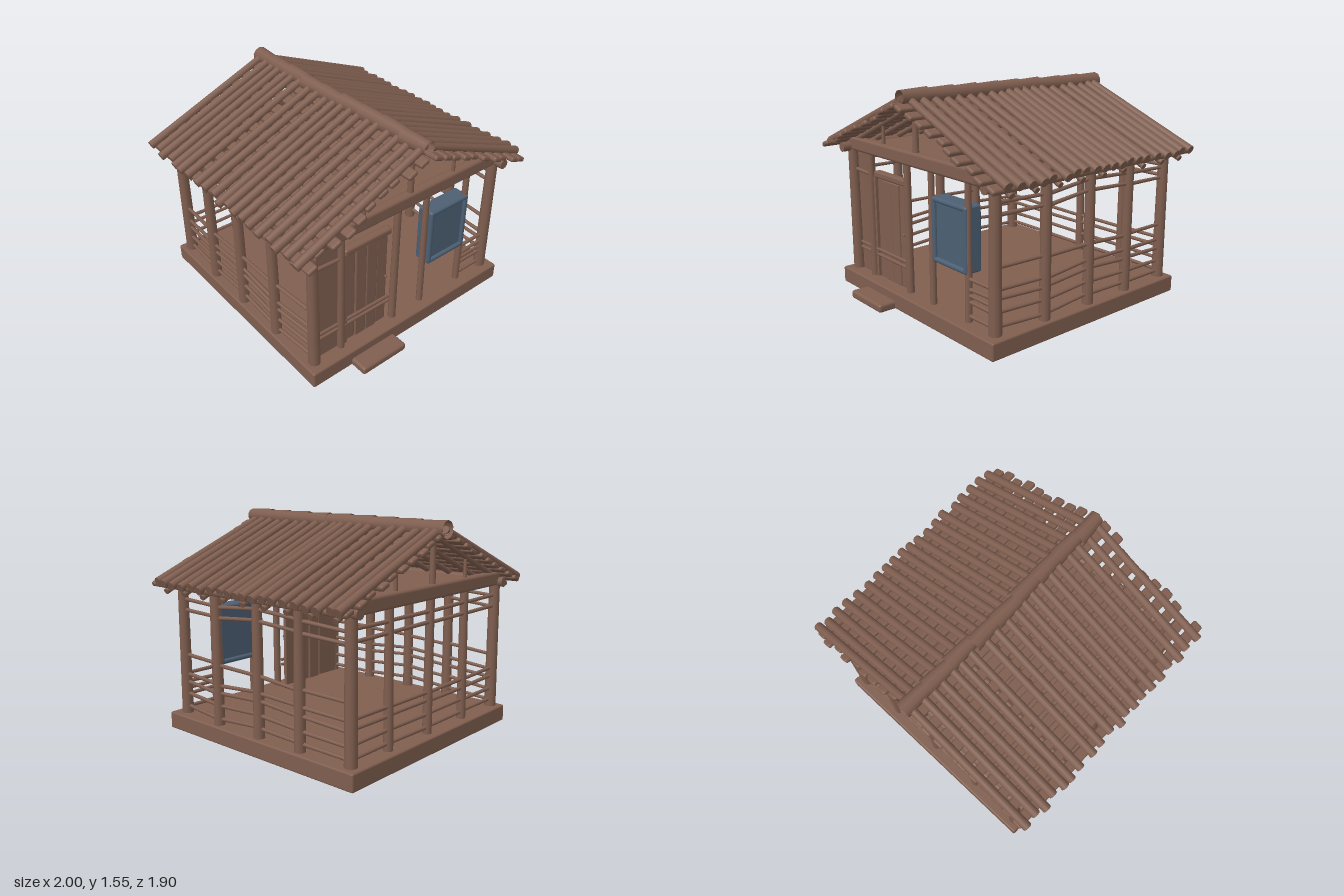
import * as THREE from 'three';
import { RoundedBoxGeometry } from 'three/addons/geometries/RoundedBoxGeometry.js';

export function createModel() {
  const model = new THREE.Group();
  model.name = 'hut';
  const wood = new THREE.MeshStandardMaterial({ color: 0x7f5e4f });
  wood.name = 'brown wood';
  const blue = new THREE.MeshStandardMaterial({ color: 0x4c5f73 });
  blue.name = 'blue shutter';
  const tube = wood.clone();
  tube.name = 'brown ridge';
  tube.side = THREE.DoubleSide;

  // small seeded wobble, from -a to a
  let seed = 7;
  const wob = (a) => {
    seed = (seed * 16807) % 2147483647;
    return (seed / 2147483647 * 2 - 1) * a;
  };
  const group = (name) => {
    const g = new THREE.Group();
    g.name = name;
    model.add(g);
    return g;
  };
  const add = (parent, name, geo, mat, x = 0, y = 0, z = 0) => {
    const m = new THREE.Mesh(geo, mat);
    m.name = name;
    m.position.set(x, y, z);
    parent.add(m);
    return m;
  };
  // round log from a to b
  const log = (parent, name, a, b, r0, r1 = r0, mat = wood, open = false) => {
    const p = new THREE.Vector3(...a), q = new THREE.Vector3(...b);
    const d = q.clone().sub(p);
    const m = add(parent, name, new THREE.CylinderGeometry(r1, r0, d.length(), 10, 1, open), mat);
    m.position.copy(p).add(q).multiplyScalar(0.5);
    m.quaternion.setFromUnitVectors(new THREE.Vector3(0, 1, 0), d.normalize());
    return m;
  };

  // plinth and entrance step; post feet show just below the plinth
  const base = group('base');
  add(base, 'plinth', new RoundedBoxGeometry(1.75, 0.12, 1.73, 2, 0.012), wood, 0.005, 0.065, -0.045);
  add(base, 'step', new RoundedBoxGeometry(0.38, 0.06, 0.2, 2, 0.02), wood, -0.36, 0.032, 0.845);

  // posts
  const posts = group('posts');
  const F = 0.725, B = -0.83;
  const sidePosts = [[0.793, F], [0.82, 0.34], [0.82, -0.06], [0.82, -0.43], [0.8, B]];
  const backX = [-0.8, -0.4, 0.02, 0.44, 0.8];
  const post = (x, z, r) => log(posts, 'post', [x, 0, z], [x + wob(0.006), 1.04, z + wob(0.006)], r * 1.08, r * 0.95);
  for (const s of [-1, 1]) {
    sidePosts.forEach(([x, z], i) => post(s * x, z, i % 4 ? 0.036 : 0.04));
  }
  backX.slice(1, 4).forEach((x) => post(x, B, 0.03));
  [[-0.57, 0.025], [-0.11, 0.026], [0.16, 0.022], [0.535, 0.023]].forEach(([x, r]) => post(x, F, r));

  // thin rails tied between the posts, each bay starting where the last ended
  const rails = group('rails');
  const low = [0.17, 0.26, 0.35, 0.41], high = [0.88, 0.955];
  const flat = [0, 0, 0, 0, 0];
  const arch = [0.005, -0.005, 0.025, 0.005, -0.01];
  const fall = [0.02, 0.01, 0, -0.015, -0.025];
  const railRun = (pts, heights, lift = flat) => {
    for (const h of heights) {
      for (let i = 0; i < pts.length - 1; i++) {
        const [x0, z0] = pts[i], [x1, z1] = pts[i + 1];
        log(rails, 'rail', [x0, h + lift[i] + wob(0.006), z0], [x1, h + lift[i + 1] + wob(0.006), z1], 0.014, 0.012);
      }
    }
  };
  for (const s of [-1, 1]) {
    const run = sidePosts.map(([x, z]) => [s * x, z]);
    railRun(run, [...low, ...high], arch);
    railRun(run, [0.54], fall);
  }
  railRun(backX.map((x) => [x, B]), [...low, ...high]);
  railRun([[0.535, F], [0.795, F]], [...low, 0.3]);
  railRun([[-0.795, F], [-0.57, F]], [0.885]);

  // front wall panel and plank door
  const door = group('door');
  add(door, 'wallPanel', new THREE.BoxGeometry(0.22, 0.9, 0.02), wood, -0.68, 0.57, 0.7);
  for (const y of [0.29, 0.33]) {
    log(door, 'crossBar', [-0.79, y, 0.715], [-0.15, y, 0.72], 0.012);
  }
  for (let i = 0; i < 4; i++) {
    const x = -0.48 + i * 0.092;
    const bow = 0.012 * (1 - Math.abs(i - 1.5) / 1.5);
    add(door, 'doorPlank', new RoundedBoxGeometry(0.093, 0.74, 0.03, 2, 0.01), wood, x, 0.49, 0.69 + bow);
  }
  add(door, 'lintel', new RoundedBoxGeometry(0.39, 0.05, 0.06, 2, 0.015), wood, -0.34, 0.89, 0.7);
  add(door, 'doorJamb', new THREE.BoxGeometry(0.025, 0.75, 0.05), wood, -0.53, 0.5, 0.7);
  add(door, 'doorHandle', new THREE.SphereGeometry(0.01, 8, 6), wood, -0.18, 0.52, 0.72);

  // window: rounded frame around a recessed panel
  const win = group('window');
  const cx = 0.37, cy = 0.66, w = 0.36, h = 0.44, t = 0.036;
  const bar = (bw, bh, x, y) => add(win, 'windowFrame', new RoundedBoxGeometry(bw, bh, 0.13, 3, 0.017), blue, x, y, 0.69);
  for (const s of [-1, 1]) {
    bar(w, t, cx, cy + s * (h - t) / 2);
    bar(t, h, cx + s * (w - t) / 2, cy);
  }
  add(win, 'windowPanel', new THREE.BoxGeometry(w - t, h - t, 0.09), blue, cx, cy, 0.69);

  // ceiling, tie beams and gable trusses
  const frame = group('roofFrame');
  const SLOPE = 0.416;
  const roofY = (x) => 1.488 - SLOPE * Math.abs(x);
  add(frame, 'ceiling', new THREE.BoxGeometry(1.6, 0.015, 1.54), wood, 0, 1.065, -0.055);
  for (const z of [F, B]) {
    add(frame, 'tieBeam', new RoundedBoxGeometry(1.68, 0.1, 0.07, 2, 0.02), wood, 0, 1.08, z);
    log(frame, 'kingPost', [0, 1.08, z], [0, 1.48, z], 0.022, 0.018);
    for (const s of [-1, 1]) {
      log(frame, 'strut', [s * 0.39, 1.08, z], [s * 0.39, 1.29, z], 0.014, 0.011);
    }
  }
  for (const s of [-1, 1]) {
    log(frame, 'wallPlate', [s * 0.805, 1.055, 0.82], [s * 0.805, 1.055, -0.9], 0.035);
    for (let i = 0; i < 9; i++) {
      const z = F + (B - F) * i / 8;
      log(frame, 'rafter', [0, roofY(0) - 0.042, z], [s * 0.94, roofY(0.94) - 0.073, z], 0.021);
    }
  }

  // roof: flat battens along the length, poles down each slope
  const roof = group('roof');
  const poleZ = {
    '-1': [-0.9, -0.81, -0.73, -0.65, -0.56, -0.49, -0.4, -0.28, -0.19, -0.09, 0, 0.07, 0.15, 0.24, 0.33, 0.42, 0.52, 0.61, 0.7, 0.81],
    '1': [-0.89, -0.82, -0.73, -0.63, -0.54, -0.44, -0.35, -0.27, -0.18, -0.1, -0.03, 0.05, 0.13, 0.23, 0.32, 0.42, 0.51, 0.6, 0.69, 0.78],
  };
  for (const s of [-1, 1]) {
    for (let i = 0; i < 10; i++) {
      const x = 0.055 + i * 0.096;
      const front = 0.875 + wob(0.03), back = -0.935 + wob(0.015);
      const batten = add(roof, 'batten', new RoundedBoxGeometry(0.076, 0.036, front - back, 2, 0.015), wood,
        s * x + wob(0.006), roofY(x) - 0.03, (front + back) / 2);
      batten.rotation.z = -s * Math.atan(SLOPE);
    }
    for (const z of poleZ[s]) {
      const end = 0.975 + wob(0.015);
      log(roof, 'roofPole', [s * 0.02, roofY(0.02) + wob(0.004), z + wob(0.006)],
        [s * end, roofY(end) + wob(0.006), z + wob(0.006)], 0.027, 0.031);
    }
  }

  // tapered ridge caps, each tucked under the next
  for (let i = 0; i < 9; i++) {
    const z = -0.95 + i * 0.198;
    const y = 1.482 + i * 0.0015;
    log(roof, 'ridgeCap', [0.012 + wob(0.012), y, z], [0.012 + wob(0.012), y + 0.006, z + 0.215], 0.06, 0.047, tube, true);
  }
  return model;
}
